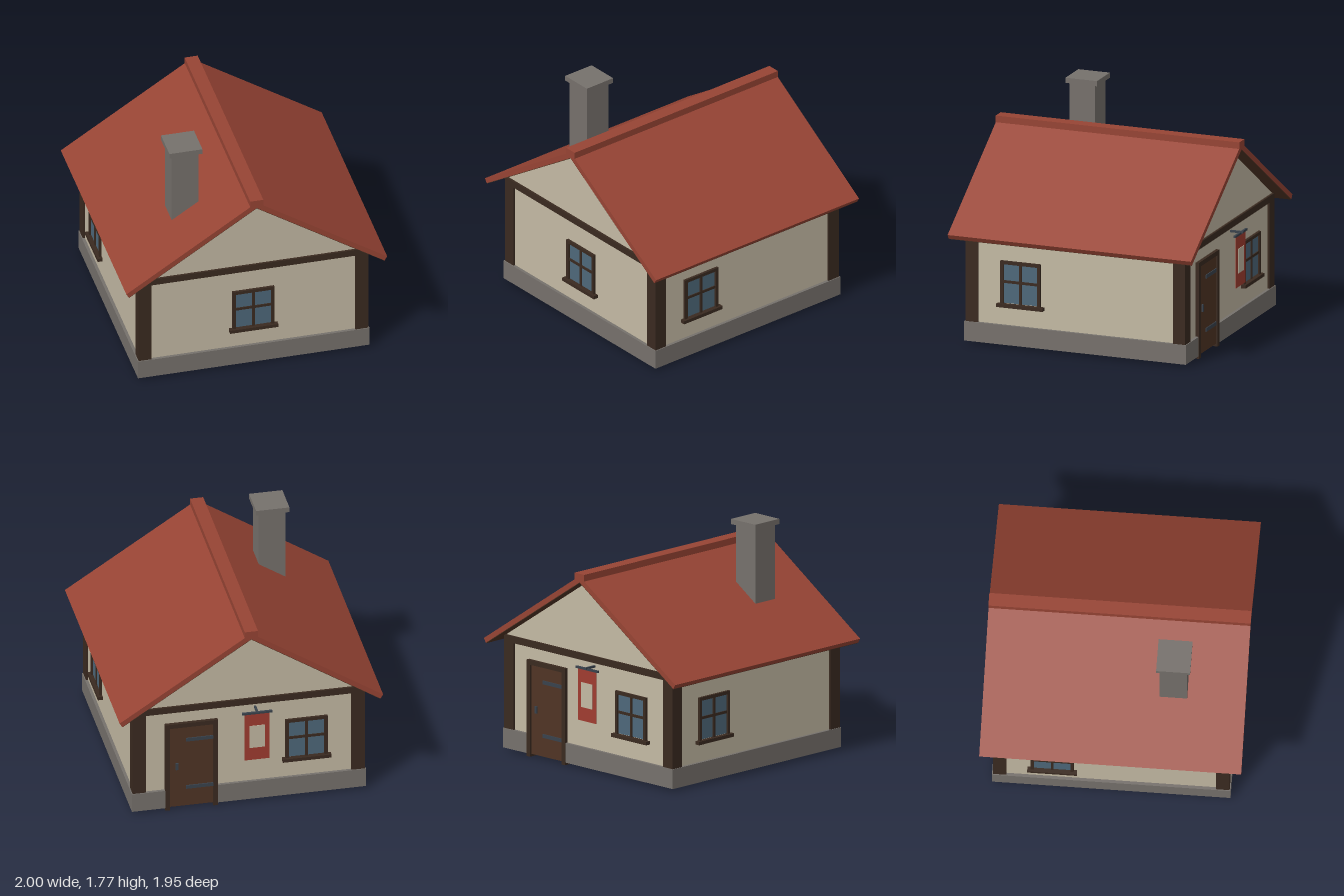
import * as THREE from 'three';

const mat = (name, color) => {
  const m = new THREE.MeshStandardMaterial({ color });
  m.name = name;
  return m;
};

export function createModel() {
  const plaster = mat('plaster', 0xc4baa4);
  const timber = mat('dark timber', 0x3a2a20);
  const wood = mat('door wood', 0x503424);
  const stone = mat('stone', 0x76716c);
  const tile = mat('roof tile', 0x974434);
  const glass = mat('glass', 0x4e687a);
  const iron = mat('iron', 0x39424c);
  const cloth = mat('red cloth', 0xa03c30);

  const house = new THREE.Group();
  house.name = 'house';

  // box given by its limits on each axis
  const box = (name, m, x0, x1, y0, y1, z0, z1, parent = house) => {
    const mesh = new THREE.Mesh(new THREE.BoxGeometry(x1 - x0, y1 - y0, z1 - z0), m);
    mesh.position.set((x0 + x1) / 2, (y0 + y1) / 2, (z0 + z1) / 2);
    mesh.name = name;
    parent.add(mesh);
    return mesh;
  };
  // outline in x and y, extruded from z0 to z1
  const prism = (name, m, pts, z0, z1) => {
    const shape = new THREE.Shape(pts.map(p => new THREE.Vector2(...p)));
    const geo = new THREE.ExtrudeGeometry(shape, { depth: z1 - z0, bevelEnabled: false });
    geo.translate(0, 0, z0);
    const mesh = new THREE.Mesh(geo, m);
    mesh.name = name;
    house.add(mesh);
  };

  // plinth, open at the bottom and broken by the doorway
  const P = 0.888, Q = 0.787;
  box('plinthFront', stone, -P, P, 0.02, 0.17, Q, P);
  box('plinthBackRight', stone, -P, 0.25, 0.02, 0.17, -P, -Q);
  box('plinthBackLeft', stone, 0.62, P, 0.02, 0.17, -P, -Q);
  for (const s of [-1, 1]) {
    const a = s * P, b = s * Q;
    box('plinthSide', stone, Math.min(a, b), Math.max(a, b), 0.02, 0.17, -Q, Q);
  }

  // walls: gabled front and back, plain sides
  const W = 0.865, V = 0.785, slope = 0.653, apex = 1.46;
  const gable = [[-W, 0.17], [W, 0.17], [W, apex - W * slope], [0, apex], [-W, apex - W * slope]];
  prism('frontWall', plaster, gable, V, W);
  prism('backWall', plaster, gable, -W, -V);
  box('leftWall', plaster, V, W, 0.17, 0.88, -V, V);
  box('rightWall', plaster, -W, -V, 0.17, 0.88, -V, V);

  // corner posts and wall plates
  for (const s of [-1, 1]) {
    for (const t of [-1, 1]) {
      const post = box('cornerPost', timber, -0.05, 0.05, 0.018, 0.884, -0.05, 0.05);
      post.position.x = s * 0.831;
      post.position.z = t * 0.831;
    }
    const across = box('gableBeam', timber, -0.879, 0.879, 0.835, 0.886, -0.051, 0.051);
    across.position.z = s * 0.831;
    const along = box('eaveBeam', timber, -0.05, 0.05, 0.835, 0.885, -0.78, 0.78);
    along.position.x = s * 0.83;
  }

  // roof with wooden underside and ridge cap
  const L = 0.975;
  prism('roof', tile, [[-0.98, 0.82], [0, apex], [0.98, 0.82], [1, 0.853], [0, 1.508], [-1, 0.853]], -L, L);
  prism('roofUnderside', wood,
    [[-0.978, 0.8165], [0, 1.455], [0.978, 0.8165], [0.979, 0.822], [0, 1.461], [-0.979, 0.822]], -L + 0.002, L - 0.002);
  box('ridgeCap', tile, -0.05, 0.05, 1.475, 1.526, -L - 0.001, L + 0.001);

  // chimney
  box('chimney', stone, -0.54, -0.335, 1.13, 1.73, 0.335, 0.54);
  box('chimneyCap', stone, -0.563, -0.31, 1.728, 1.768, 0.31, 0.563);

  // windows run through the wall; local z = 0 is the wall face
  const addWindow = (x, z, turn) => {
    const g = new THREE.Group();
    g.name = 'window';
    box('pane', glass, -0.15, 0.15, 0.34, 0.65, -0.085, 0.006, g);
    for (const s of [-1, 1]) {
      const side = box('frameSide', timber, -0.0125, 0.0125, 0.33, 0.665, -0.092, 0.02, g);
      side.position.x = s * 0.1475;
    }
    box('frameTop', timber, -0.135, 0.135, 0.64, 0.665, -0.092, 0.02, g);
    box('mullion', timber, -0.01, 0.01, 0.33, 0.64, -0.09, 0.014, g);
    box('crossbar', timber, -0.135, 0.135, 0.495, 0.515, -0.09, 0.014, g);
    box('sill', timber, -0.185, 0.185, 0.31, 0.336, -0.1, 0.038, g);
    g.position.set(x, 0, z);
    g.rotation.y = turn;
    house.add(g);
  };
  addWindow(0, W, 0);
  addWindow(W, 0.44, Math.PI / 2);
  addWindow(-W, -0.44, -Math.PI / 2);
  addWindow(-0.44, -W, Math.PI);

  // back door
  box('doorLeaf', wood, 0.26, 0.61, 0.02, 0.71, -0.877, -0.78);
  box('doorPostRight', timber, 0.235, 0.27, 0, 0.74, -0.892, -0.765);
  box('doorPostLeft', timber, 0.6, 0.635, 0, 0.74, -0.892, -0.765);
  box('doorLintel', timber, 0.27, 0.6, 0.705, 0.74, -0.892, -0.765);
  for (const y of [0.18, 0.59]) box('hingeStrap', iron, 0.265, 0.475, y - 0.014, y + 0.014, -0.885, -0.876);
  box('doorHandle', iron, 0.535, 0.555, 0.34, 0.395, -0.89, -0.876);

  // hanging banner on an iron bracket
  box('bracketArm', iron, -0.058, -0.042, 0.798, 0.813, -0.967, -0.86);
  box('bannerRod', iron, -0.165, 0.065, 0.79, 0.806, -0.953, -0.937);
  box('banner', cloth, -0.145, 0.045, 0.395, 0.795, -0.948, -0.942);
  box('bannerPatch', plaster, -0.107, 0.007, 0.5, 0.69, -0.951, -0.947);

  return house;
}
